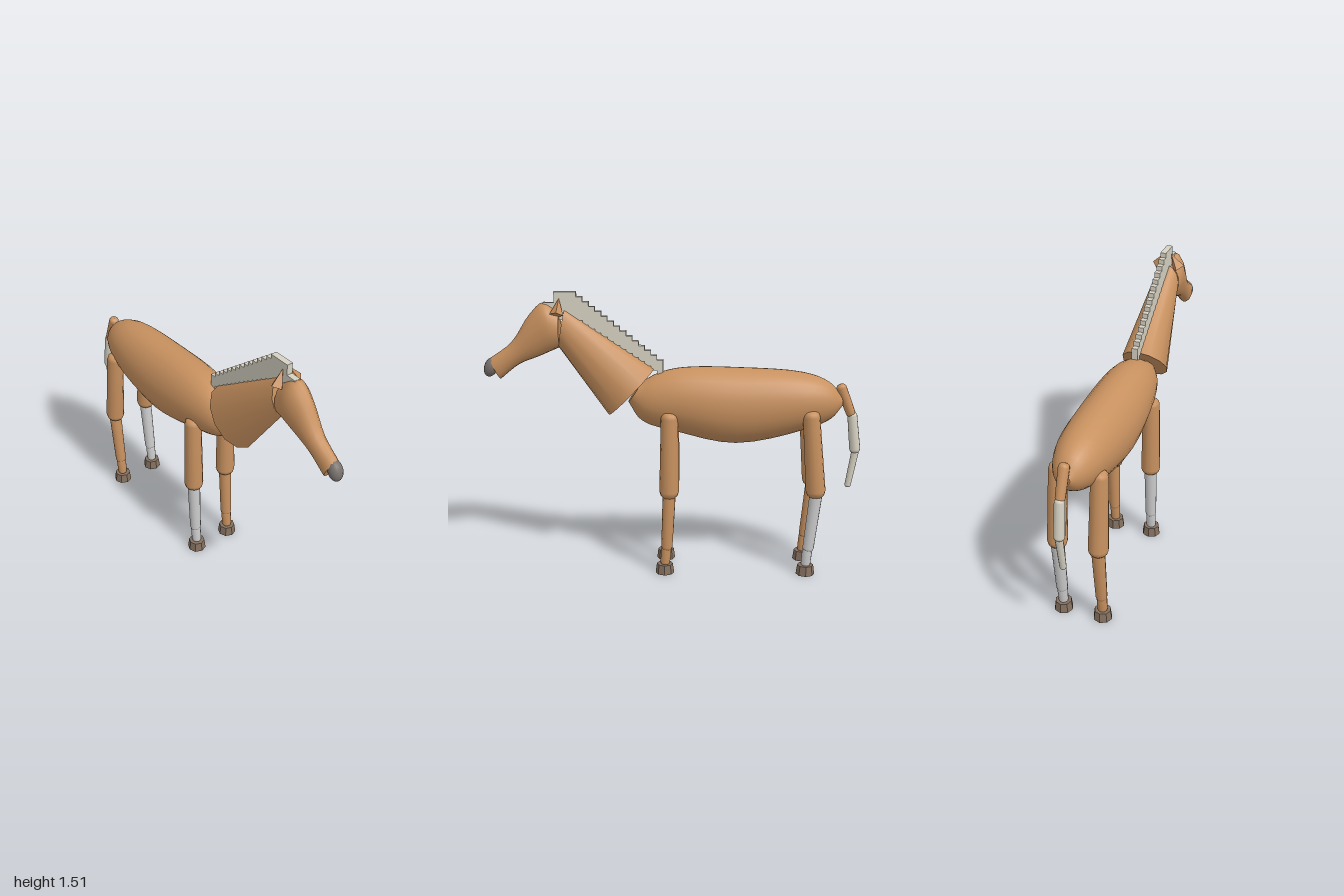
import * as THREE from 'three';

const paint = (color) => new THREE.MeshStandardMaterial({ color });
const tan = paint(0xc8915f), pale = paint(0xd6d1c2), grey = paint(0xcccccc);
const hoofBrown = paint(0x84705f), noseGrey = paint(0x77706c);
const V = (x, y, z) => new THREE.Vector3(x, y, z);

function add(parent, name, geometry, material) {
  const mesh = new THREE.Mesh(geometry, material);
  mesh.name = name;
  parent.add(mesh);
  return mesh;
}

// Skin over elliptical sections [zTop, yTop, zBottom, yBottom, halfWidth], ordered towards +z
function loft(sections, sides, steps) {
  const top = new THREE.CatmullRomCurve3(sections.map((s) => V(s[4], s[1], s[0])));
  const bottom = new THREE.CatmullRomCurve3(sections.map((s) => V(0, s[3], s[2])));
  const pos = [], index = [];
  const section = (t) => {
    const a = top.getPoint(t), b = bottom.getPoint(t), w = a.x;
    a.x = 0;
    const mid = a.clone().add(b).multiplyScalar(0.5), half = a.sub(mid);
    const ring = [];
    for (let j = 0; j < sides; j++) {
      const q = (j / sides) * Math.PI * 2;
      ring.push(V(w * Math.sin(q), mid.y + half.y * Math.cos(q), mid.z + half.z * Math.cos(q)));
    }
    return { mid, ring };
  };
  for (let i = 0; i <= steps; i++) {
    section(i / steps).ring.forEach((p) => pos.push(p.x, p.y, p.z));
    if (i === steps) break;
    for (let j = 0; j < sides; j++) {
      const a = i * sides + j, b = i * sides + ((j + 1) % sides);
      index.push(a, a + sides, b, b, a + sides, b + sides);
    }
  }
  // Flat end caps
  for (const end of [0, 1]) {
    const { mid, ring } = section(end), c = pos.length / 3;
    [mid, ...ring].forEach((p) => pos.push(p.x, p.y, p.z));
    for (let j = 0; j < sides; j++) {
      const a = c + 1 + j, b = c + 1 + ((j + 1) % sides);
      index.push(c, ...(end ? [b, a] : [a, b]));
    }
  }
  const g = new THREE.BufferGeometry();
  g.setAttribute('position', new THREE.Float32BufferAttribute(pos, 3));
  g.setIndex(index);
  g.computeVertexNormals();
  return g;
}

// Round-ended limb from a (radius ra) to b (radius rb)
function limb(parent, name, a, b, ra, rb, material) {
  const axis = b.clone().sub(a), len = axis.length();
  const ease = [[0, 0], [0.6, 0.12], [0.88, 0.38], [1, 0.8]];
  const profile = [
    ...ease.map(([r, y]) => new THREE.Vector2(r * ra, y * ra)),
    ...ease.slice().reverse().map(([r, y]) => new THREE.Vector2(r * rb, len - y * rb)),
  ];
  const mesh = add(parent, name, new THREE.LatheGeometry(profile, 12), material);
  mesh.position.copy(a);
  mesh.quaternion.setFromUnitVectors(V(0, 1, 0), axis.normalize());
  return mesh;
}

function leg(parent, name, x, joints, lowerMaterial) {
  const g = new THREE.Group();
  g.name = name;
  parent.add(g);
  const [hip, knee, ankle, foot] = joints.map(([y, z]) => V(x, y, z));
  limb(g, 'upperLeg', knee, hip, 0.052, 0.045, tan);
  limb(g, 'lowerLeg', ankle, knee.clone().add(V(0, 0.03, 0)), 0.03, 0.034, lowerMaterial);
  limb(g, 'pastern', foot, ankle.clone().add(V(0, 0.03, 0)), 0.026, 0.027, lowerMaterial);
  const hoof = new THREE.CylinderGeometry(0.043, 0.05, 0.052, 8).toNonIndexed();
  hoof.computeVertexNormals();
  add(g, 'hoof', hoof, hoofBrown).position.set(x, 0.026, foot.z);
}

export function createModel() {
  const model = new THREE.Group();
  model.name = 'horse';

  // Barrel body, rump to chest
  add(model, 'body', loft([
    [-0.885, 0.96, -0.89, 0.91, 0.03],
    [-0.82, 1.035, -0.83, 0.84, 0.085],
    [-0.69, 1.086, -0.69, 0.78, 0.13],
    [-0.34, 1.112, -0.33, 0.705, 0.155],
    [-0.045, 1.11, -0.02, 0.765, 0.138],
    [0.08, 1.08, 0.17, 0.825, 0.105],
    [0.17, 1.03, 0.24, 0.925, 0.06],
  ], 24, 24), tan);

  // Tapered neck
  add(model, 'neck', loft([
    [0.1, 1.107, 0.345, 0.853, 0.122],
    [0.565, 1.417, 0.6, 1.215, 0.066],
  ], 12, 1), tan);

  // Head tapering to the muzzle
  add(model, 'head', loft([
    [0.595, 1.4, 0.595, 1.215, 0.064],
    [0.676, 1.45, 0.635, 1.198, 0.072],
    [0.752, 1.385, 0.71, 1.165, 0.062],
    [0.85, 1.24, 0.81, 1.125, 0.046],
    [0.965, 1.155, 0.912, 1.045, 0.04],
  ], 14, 16), tan);
  const nose = add(model, 'muzzle', new THREE.SphereGeometry(1, 16, 12), noseGrey);
  nose.scale.set(0.037, 0.054, 0.036);
  nose.position.set(0, 1.108, 0.962);
  nose.rotation.x = -0.4;

  // Ears leaning in towards the crown
  for (const side of [1, -1]) {
    const cone = new THREE.ConeGeometry(0.036, 0.09, 4).toNonIndexed();
    cone.computeVertexNormals();
    const ear = add(model, side > 0 ? 'leftEar' : 'rightEar', cone, tan);
    ear.position.set(side * 0.037, 1.433, 0.597);
    ear.rotation.set(-0.12, 0, side * 0.45);
  }

  // Stepped mane running down the neck
  const mane = new THREE.Group();
  mane.name = 'mane';
  model.add(mane);
  const block = (name, z0, z1, y0, y1) =>
    add(mane, name, new THREE.BoxGeometry(0.032, y1 - y0, z1 - z0), pale)
      .position.set(0, (y0 + y1) / 2, (z0 + z1) / 2);
  block('forelock', 0.615, 0.676, 1.38, 1.45);
  block('maneCrest', 0.505, 0.62, 1.36, 1.506);
  const steps = 14, dz = 0.45 / steps;
  for (let i = 0; i < steps; i++) {
    const z = 0.505 - i * dz, top = 1.506 - ((i + 1) * 0.356) / steps;
    block('maneStep', z - dz, z, Math.min(1.02 + 0.667 * z, top - 0.08), top);
  }

  // Legs, with joints as [y, z]; two have grey lower parts
  const front = [[0.895, 0.02], [0.42, 0.022], [0.125, 0.035], [0.04, 0.045]];
  const rear = [[0.908, -0.715], [0.43, -0.757], [0.125, -0.722], [0.04, -0.712]];
  leg(model, 'frontLeftLeg', 0.108, front, tan);
  leg(model, 'frontRightLeg', -0.108, front, grey);
  leg(model, 'rearLeftLeg', 0.108, rear, grey);
  leg(model, 'rearRightLeg', -0.108, rear, tan);

  // Jointed tail
  const tail = new THREE.Group();
  tail.name = 'tail';
  model.add(tail);
  limb(tail, 'tailDock', V(0, 0.85, -0.943), V(0, 1.025, -0.873), 0.025, 0.028, tan);
  limb(tail, 'tailMiddle', V(0, 0.65, -0.968), V(0, 0.875, -0.942), 0.029, 0.026, pale);
  limb(tail, 'tailTip', V(0, 0.458, -0.934), V(0, 0.67, -0.97), 0.017, 0.02, pale);

  return model;
}
